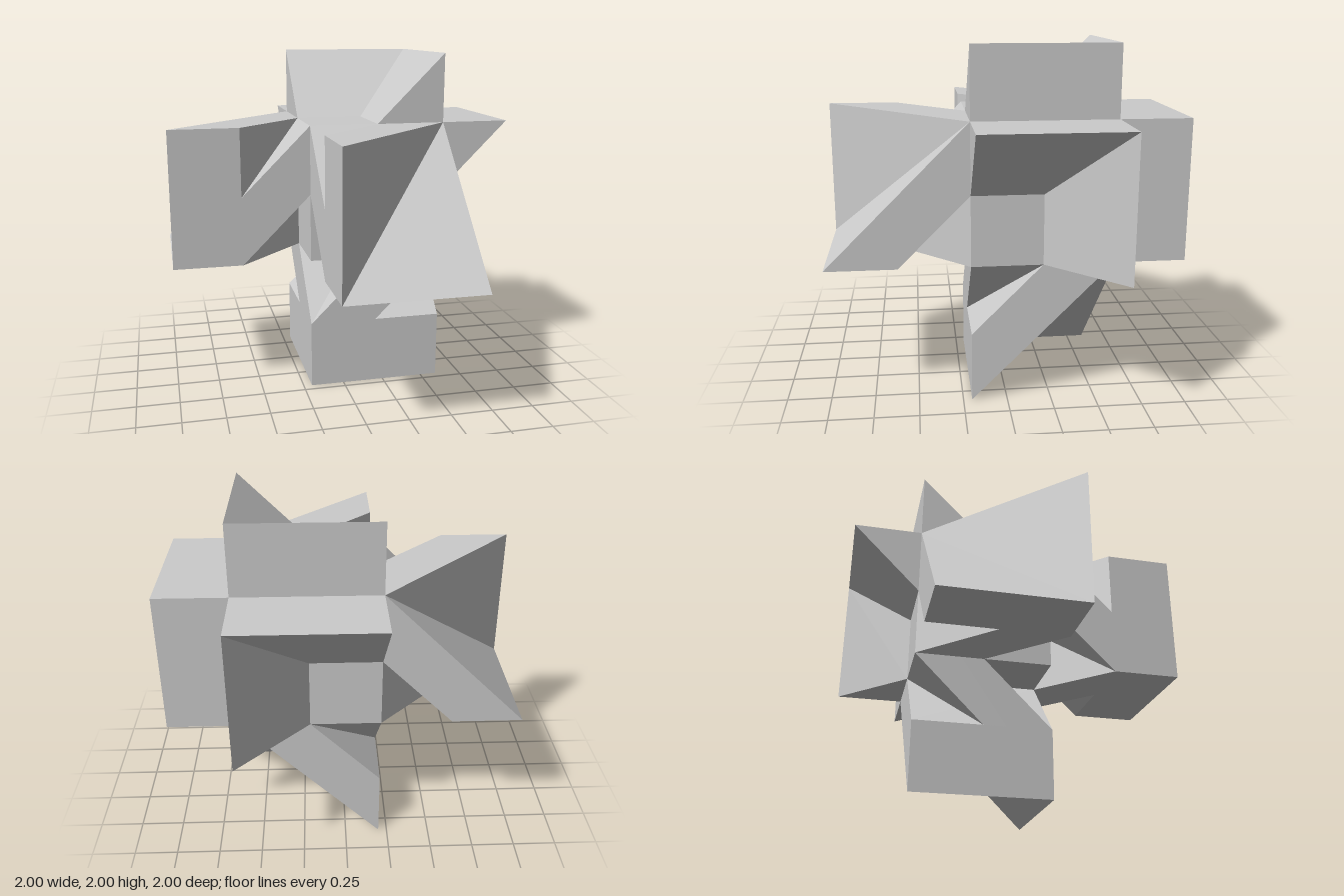
import * as THREE from 'three';

// Arrow-like outline, symmetric about its diagonal, on a 0.2 unit lattice
const OUTLINE = [
  [3, 3], [3, 5], [1, 3], [-1, 3], [-5, -1], [-3, -1], [-1, 1],
  [-1, -1], [1, -1], [-1, -3], [-1, -5], [3, -1], [3, 1], [5, 3],
];
const UNIT = 0.2;

export function createModel() {
  const model = new THREE.Group();
  model.name = 'interlockedArrows';
  const material = new THREE.MeshStandardMaterial({ color: 0xcccccc, flatShading: true });

  // One arrow-shaped prism, four lattice units thick
  const shape = new THREE.Shape(OUTLINE.map(([x, y]) => new THREE.Vector2(x * UNIT, y * UNIT)));
  const prism = new THREE.ExtrudeGeometry(shape, { depth: 4 * UNIT, bevelEnabled: false });
  prism.translate(0, 0, -3 * UNIT);

  // Three copies turned in thirds about the cube diagonal
  const axis = new THREE.Vector3(1, 1, -1).normalize();
  ['first', 'second', 'third'].forEach((label, i) => {
    const arrow = new THREE.Mesh(prism, material);
    arrow.name = `${label}ArrowPrism`;
    arrow.rotateOnAxis(axis, (i * Math.PI * 2) / 3);
    arrow.position.y = 1;
    model.add(arrow);
  });
  return model;
}
